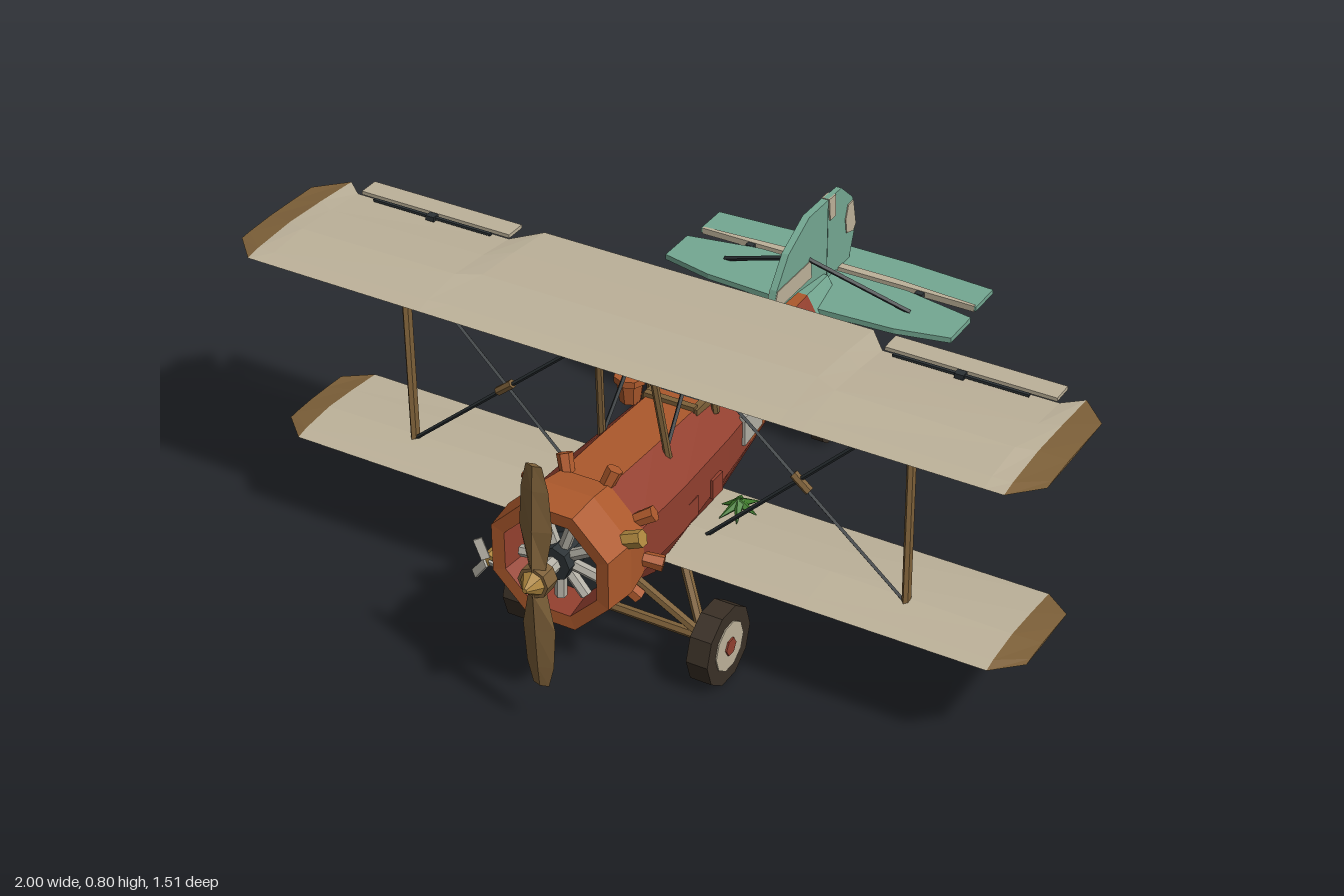
import * as THREE from 'three';

const palette = {
  red: 0x93402f, orange: 0xad592c, teal: 0x74a892, cream: 0xbdb29a, wood: 0x7d6039,
  rubber: 0x3a3026, steel: 0x2b3235, brass: 0xb0883f, metal: 0xb4b1a6, leaf: 0x3f7d2c,
};

export function createModel() {
  const model = new THREE.Group();
  model.name = 'biplane';
  const mats = {};
  for (const [name, color] of Object.entries(palette)) {
    mats[name] = new THREE.MeshStandardMaterial({ color });
    mats[name].name = name;
  }
  const V = (x, y, z) => new THREE.Vector3(x, y, z);

  // Faceted mesh
  function add(name, geo, mat, parent = model) {
    const g = geo.index ? geo.toNonIndexed() : geo;
    g.computeVertexNormals();
    const m = new THREE.Mesh(g, mats[mat]);
    m.name = name;
    parent.add(m);
    return m;
  }
  function box(name, size, pos, mat) {
    const m = add(name, new THREE.BoxGeometry(...size), mat);
    m.position.set(...pos);
    return m;
  }
  // Round bar between two points
  function rod(name, a, b, r, mat, sides = 6, r2 = r) {
    const p = V(...a), q = V(...b), d = q.clone().sub(p);
    const m = add(name, new THREE.CylinderGeometry(r2, r, d.length(), sides), mat);
    m.position.copy(p).add(q).multiplyScalar(0.5);
    m.quaternion.setFromUnitVectors(V(0, 1, 0), d.normalize());
    return m;
  }
  // Skin over cross-sections, one mesh per colour; colour(segment, facet), segment -1 is a cap
  function loft(name, rings, colour) {
    const lists = {}, n = rings[0].length;
    const tri = (c, ...pts) => (lists[c] ??= []).push(...pts.flat());
    for (let i = 0; i < rings.length - 1; i++) for (let j = 0; j < n; j++) {
      const k = (j + 1) % n, [a, b] = [rings[i], rings[i + 1]];
      tri(colour(i, j), a[j], b[j], b[k], a[j], b[k], a[k]);
    }
    const last = rings[rings.length - 1];
    for (let j = 1; j < n - 1; j++) {
      tri(colour(-1, 0), rings[0][0], rings[0][j], rings[0][j + 1]);
      tri(colour(-1, 1), last[0], last[j + 1], last[j]);
    }
    for (const c in lists) {
      const g = new THREE.BufferGeometry();
      g.setAttribute('position', new THREE.Float32BufferAttribute(lists[c], 3));
      add(name, g, c);
    }
  }
  // Flat plates: upright in (z, y), level in (x, z)
  function plate(name, pts, t, mat, level = false, y = 0) {
    const g = new THREE.ExtrudeGeometry(new THREE.Shape(pts.map(p => new THREE.Vector2(...p))), { depth: t, bevelEnabled: false });
    if (level) g.rotateX(Math.PI / 2).translate(0, y + t / 2, 0);
    else g.rotateY(-Math.PI / 2).translate(t / 2, 0, 0);
    return add(name, g, mat);
  }
  const mirrored = half => [...half, ...half.slice().reverse().map(([x, ...r]) => [-x, ...r])];

  // Fuselage: eight-sided sections
  const ring8 = ([z, w, top, yU, yL, bot, a]) => [[a, top, z], [-a, top, z], [-w, yU, z], [-w, yL, z],
    [-a, bot, z], [a, bot, z], [w, yL, z], [w, yU, z]];
  loft('fuselage', [
    [0.51, 0.143, 0.55, 0.47, 0.355, 0.272, 0.06], [0.32, 0.14, 0.545, 0.465, 0.35, 0.208, 0.062],
    [0.1, 0.128, 0.537, 0.462, 0.37, 0.222, 0.06], [-0.02, 0.118, 0.532, 0.462, 0.38, 0.25, 0.056],
    [-0.27, 0.09, 0.527, 0.458, 0.398, 0.312, 0.045], [-0.44, 0.068, 0.522, 0.463, 0.415, 0.354, 0.034],
    [-0.57, 0.042, 0.505, 0.466, 0.433, 0.385, 0.02],
  ].map(ring8), (i, j) => {
    if (i < 0) return 'teal';
    if (j === 0) return i > 4 ? 'teal' : 'orange';
    if (j === 1 || j === 7) return i > 4 ? 'teal' : 'red';
    if (j === 2 || j === 6) return i > 2 ? 'orange' : 'red';
    return i > 3 ? 'teal' : 'red';
  });
  // Engine cowl, open at the front
  const cowl = (z, r) => ring8([z, r, 0.41 + r, 0.41 + r * 0.41, 0.41 - r * 0.41, 0.41 - r, r * 0.41]);
  loft('cowl', [cowl(0.57, 0.105), cowl(0.65, 0.115), cowl(0.652, 0.146), cowl(0.57, 0.154), cowl(0.5, 0.143)],
    i => i < 0 ? 'steel' : i === 0 ? 'red' : 'orange');
  // Radial engine and exhaust stubs
  for (let i = 0; i < 9; i++) {
    const a = (i + 0.5) / 9 * Math.PI * 2, s = Math.sin(a), c = Math.cos(a);
    rod('engineCylinder', [s * 0.03, 0.41 + c * 0.03, 0.61], [s * 0.1, 0.41 + c * 0.1, 0.61], 0.014, 'metal');
    rod('exhaustStub', [s * 0.13, 0.41 + c * 0.13, 0.5], [s * 0.185, 0.41 + c * 0.185, 0.482], 0.016, 'orange', 6, 0.019);
  }
  rod('crankcase', [0, 0.41, 0.57], [0, 0.41, 0.64], 0.042, 'steel', 8);
  rod('intakePipe', [0.13, 0.475, 0.57], [0.18, 0.495, 0.565], 0.02, 'brass', 6);

  // Propeller
  rod('propellerShaft', [0, 0.41, 0.62], [0, 0.41, 0.69], 0.02, 'metal', 8);
  rod('hub', [0, 0.41, 0.68], [0, 0.41, 0.72], 0.038, 'wood', 8);
  rod('spinner', [0, 0.41, 0.715], [0, 0.41, 0.752], 0.034, 'brass', 8, 0.006);
  loft('propeller', [[0.29, 0.02, 0.006], [0.23, 0.034, 0.012], [0.13, 0.041, 0.018], [0.03, 0.022, 0.022],
    [-0.03, 0.022, 0.022], [-0.13, 0.041, 0.018], [-0.23, 0.034, 0.012], [-0.285, 0.02, 0.006]]
    .map(([y, w, t]) => [[w, 0.412 + y, 0.7], [0, 0.412 + y, 0.7 - t], [-w, 0.412 + y, 0.7], [0, 0.412 + y, 0.7 + t]]), () => 'wood');

  // Wings with wooden tips
  const profile = [[1, 0.1], [0.7, 0.65], [0.4, 1], [0.1, 0.6], [0, 0.15], [0.4, -0.15]];
  function wing(name, half, y, thick) {
    const st = mirrored(half);
    loft(name, st.map(([x, le, te, h]) => profile.map(([t, k]) => [x, y + thick * h * k + 0.005 * (1 - h), le + (te - le) * t])),
      i => i <= 0 || i === st.length - 2 ? 'wood' : 'cream');
  }
  wing('upperWing', [[1, 0.35, 0.08, 0.2], [0.935, 0.415, 0.012, 0.6], [0.89, 0.415, 0.05, 0.75],
    [0.475, 0.415, 0.05, 0.95], [0.42, 0.415, -0.015, 1]], 0.773, 0.025);
  wing('lowerWing', [[0.955, 0.285, 0.08, 0.2], [0.89, 0.345, 0.03, 0.7], [0.45, 0.345, 0.03, 1]], 0.264, 0.024);

  for (const s of [1, -1]) {
    box('aileron', [0.405, 0.009, 0.053], [s * 0.68, 0.778, 0.018], 'cream');
    box('aileronRod', [0.32, 0.006, 0.008], [s * 0.67, 0.787, 0.07], 'steel');
    box('aileronHinge', [0.022, 0.012, 0.02], [s * 0.67, 0.787, 0.07], 'steel');
    // Struts and bracing wires
    const strut = rod('wingStrut', [s * 0.64, 0.27, 0.225], [s * 0.64, 0.78, 0.23], 0.016, 'wood', 6);
    strut.scale.x = 0.55;
    rod('frontCabaneStrut', [s * 0.085, 0.51, 0.295], [s * 0.065, 0.78, 0.335], 0.009, 'wood');
    rod('rearCabaneStrut', [s * 0.085, 0.51, 0.085], [s * 0.065, 0.78, 0.108], 0.009, 'wood');
    rod('cabaneWire', [s * 0.08, 0.52, 0.3], [s * 0.065, 0.77, 0.1], 0.005, 'steel', 4);
    rod('wire', [s * 0.635, 0.77, 0.23], [s * 0.13, 0.27, 0.23], 0.005, 'steel', 4);
    rod('wire', [s * 0.065, 0.775, 0.23], [s * 0.635, 0.285, 0.23], 0.005, 'steel', 4);
    rod('turnbuckle', [s * 0.36, 0.523, 0.23], [s * 0.4, 0.49, 0.23], 0.011, 'wood');
    // Side access panel and patches
    box('sidePanel', [0.014, 0.075, 0.1], [s * 0.117, 0.437, -0.02], 'metal').rotation.y = s * 0.1;
    for (const z of [0.17, 0.28]) box('sidePatch', [0.008, 0.05, 0.045], [s * 0.135, 0.38, z], 'red');

    // Landing gear
    const wx = s * 0.24;
    rod('tyre', [wx - 0.027, 0.096, 0.345], [wx + 0.027, 0.096, 0.345], 0.097, 'rubber', 10);
    rod('wheelDisc', [wx - 0.03, 0.096, 0.345], [wx + 0.03, 0.096, 0.345], 0.061, 'cream', 10);
    rod('wheelCap', [wx - 0.034, 0.096, 0.345], [wx + 0.034, 0.096, 0.345], 0.022, 'red', 6);
    rod('frontGearLeg', [s * 0.2, 0.1, 0.345], [s * 0.06, 0.29, 0.44], 0.012, 'wood');
    rod('rearGearLeg', [s * 0.2, 0.1, 0.345], [s * 0.06, 0.25, 0.215], 0.012, 'wood');
    // Tail bracing
    rod('tailBrace', [0, 0.585, -0.495], [s * 0.25, 0.482, -0.55], 0.006, 'steel', 4);
    box('elevatorHinge', [0.02, 0.014, 0.025], [s * 0.23, 0.475, -0.645], 'steel');
  }
  rod('axle', [-0.23, 0.096, 0.345], [0.23, 0.096, 0.345], 0.012, 'wood');

  // Tailplane and elevator
  plate('tailplane', mirrored([[0.06, -0.455], [0.25, -0.465], [0.385, -0.495], [0.385, -0.6], [0.2, -0.635]]), 0.014, 'teal', true, 0.475);
  plate('elevator', mirrored([[0.375, -0.65], [0.375, -0.742], [0.15, -0.755]]), 0.012, 'teal', true, 0.475);
  plate('elevatorStripe', mirrored([[0.37, -0.648], [0.37, -0.656], [0.15, -0.67]]), 0.016, 'cream', true, 0.475);

  // Fin and rudder with cream patches
  plate('fin', [[-0.315, 0.52], [-0.335, 0.58], [-0.39, 0.65], [-0.49, 0.7], [-0.585, 0.7], [-0.585, 0.47], [-0.5, 0.47]], 0.018, 'teal');
  plate('rudder', [[-0.59, 0.7], [-0.655, 0.698], [-0.715, 0.645], [-0.734, 0.56], [-0.705, 0.478], [-0.59, 0.478]], 0.014, 'teal');
  plate('finPatch', [[-0.318, 0.53], [-0.336, 0.578], [-0.5, 0.578], [-0.505, 0.53]], 0.022, 'cream');
  plate('rudderPatch', [[-0.588, 0.7], [-0.62, 0.699], [-0.622, 0.64], [-0.595, 0.64]], 0.021, 'cream');
  plate('rudderPatch', [[-0.69, 0.635], [-0.716, 0.636], [-0.732, 0.565], [-0.72, 0.55], [-0.685, 0.56], [-0.678, 0.6]], 0.019, 'cream');

  // Tail wheel with mudguard
  rod('tailLeg', [0, 0.4, -0.53], [0, 0.06, -0.612], 0.014, 'wood');
  rod('tailTyre', [-0.016, 0.05, -0.615], [0.016, 0.05, -0.615], 0.05, 'rubber', 10);
  rod('tailWheelDisc', [-0.019, 0.05, -0.615], [0.019, 0.05, -0.615], 0.031, 'cream', 10);
  rod('tailWheelCap', [-0.022, 0.05, -0.615], [0.022, 0.05, -0.615], 0.011, 'red', 6);
  const guard = add('mudguard', new THREE.TorusGeometry(0.073, 0.007, 4, 8, Math.PI * 0.75), 'steel');
  guard.rotation.set(Math.PI / 2, Math.PI / 2, 0);
  guard.rotation.set(0, Math.PI / 2, Math.PI / 8, 'YXZ');
  guard.position.set(0, 0.05, -0.615);

  // Cockpit with wooden rim
  box('cockpitFloor', [0.1, 0.01, 0.2], [0, 0.532, 0.03], 'steel');
  for (const s of [1, -1]) box('cockpitRail', [0.018, 0.022, 0.23], [s * 0.062, 0.532, 0.03], 'wood');
  box('cockpitFront', [0.13, 0.022, 0.016], [0, 0.538, 0.14], 'wood');
  box('headrest', [0.13, 0.034, 0.014], [0, 0.535, -0.08], 'wood');

  // Small wind generator on the right of the cowl
  rod('generatorArm', [-0.13, 0.36, 0.57], [-0.19, 0.33, 0.575], 0.008, 'wood');
  rod('generator', [-0.19, 0.33, 0.545], [-0.19, 0.33, 0.605], 0.016, 'brass', 8);
  for (let i = 0; i < 3; i++) {
    const a = i * Math.PI * 2 / 3 + 0.4;
    const blade = box('generatorBlade', [0.02, 0.05, 0.006], [-0.19 - Math.sin(a) * 0.032, 0.33 + Math.cos(a) * 0.032, 0.61], 'metal');
    blade.rotation.set(0, 0.5, a, 'ZYX');
  }

  // Potted plant, wing leaves, hanging vine and tail leaves
  rod('flowerPot', [-0.11, 0.505, 0.13], [-0.11, 0.56, 0.13], 0.025, 'orange', 8, 0.033);
  rod('potRim', [-0.11, 0.557, 0.13], [-0.11, 0.573, 0.13], 0.038, 'orange', 8);
  const leaf = (a, b, r = 0.012) => rod('leaf', a, b, r, 'leaf', 5, 0.001);
  for (let i = 0; i < 6; i++) {
    const a = i * Math.PI / 3;
    leaf([-0.11, 0.57, 0.13], [-0.11 + Math.cos(a) * 0.035, 0.615 + (i % 2) * 0.012, 0.13 + Math.sin(a) * 0.035]);
    leaf([0.16, 0.305, 0.11], [0.16 + Math.cos(a) * 0.045, 0.285, 0.11 + Math.sin(a) * 0.06], 0.014);
  }
  const vine = new THREE.CatmullRomCurve3([V(-0.13, 0.27, 0.06), V(-0.125, 0.22, 0.075), V(-0.135, 0.17, 0.07), V(-0.125, 0.13, 0.09)]);
  add('vine', new THREE.TubeGeometry(vine, 8, 0.007, 5), 'leaf');
  for (const [y, dz] of [[0.21, -0.03], [0.18, 0.03], [0.155, -0.025], [0.14, 0.025]])
    leaf([-0.13, y, 0.075], [-0.13 + dz * 0.6, y + 0.008, 0.075 + dz], 0.01);
  for (const [x, z] of [[0.025, -0.67], [-0.025, -0.68], [0.02, -0.57], [-0.02, -0.56]])
    leaf([0, 0.115, z], [x, 0.1, z + 0.02 * Math.sign(z + 0.61)], 0.014);

  return model;
}
